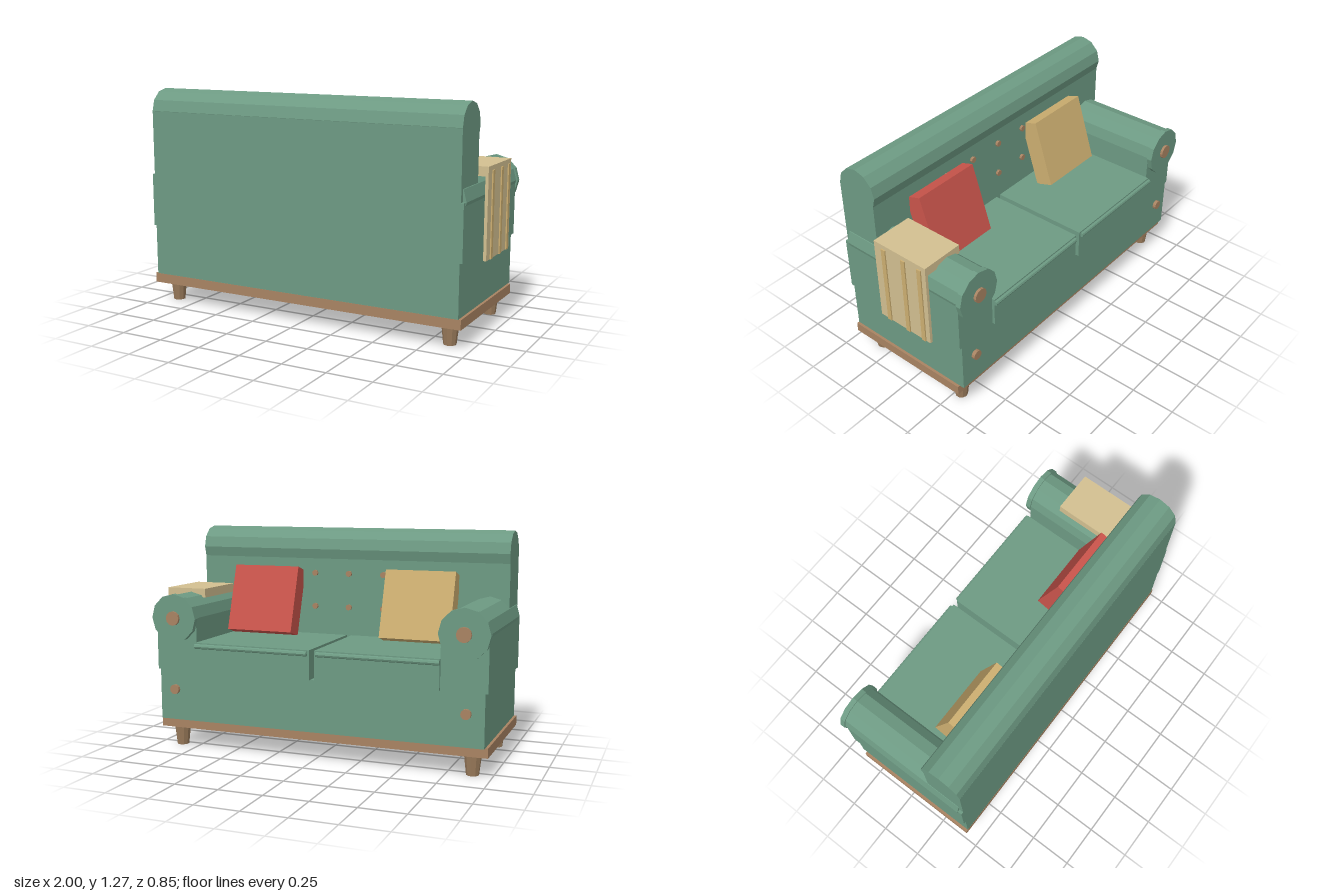
import * as THREE from 'three';

const mat = (name, color) => {
  const m = new THREE.MeshStandardMaterial({ color, flatShading: true });
  m.name = name;
  return m;
};

export function createModel() {
  const green = mat('green fabric', 0x6d9a83);
  const wood = mat('base wood', 0xa88362);
  const legWood = mat('leg wood', 0x9a7b5b);
  const red = mat('red fabric', 0xc9544b);
  const gold = mat('gold fabric', 0xccae70);
  const tan = mat('tan throw', 0xd2bf90);

  const model = new THREE.Group();
  model.name = 'sofa';
  const sofa = new THREE.Group();
  sofa.name = 'sofaBody';
  sofa.position.x = -0.0125;
  model.add(sofa);

  const add = (name, geometry, material) => {
    const mesh = new THREE.Mesh(geometry, material);
    mesh.name = name;
    sofa.add(mesh);
    return mesh;
  };
  // Box given by its extents on each axis
  const box = (name, material, [x0, x1], [y0, y1], [z0, z1]) =>
    add(name, new THREE.BoxGeometry(x1 - x0, y1 - y0, z1 - z0), material)
      .position.set((x0 + x1) / 2, (y0 + y1) / 2, (z0 + z1) / 2);
  // Cylinder lying along z
  const discZ = (name, material, r, x, y, z0, z1, sides = 12) =>
    add(name, new THREE.CylinderGeometry(r, r, z1 - z0, sides).rotateX(Math.PI / 2), material)
      .position.set(x, y, (z0 + z1) / 2);
  // Cylinder lying along x
  const rollX = (name, material, r, x0, x1, y, z, sides) =>
    add(name, new THREE.CylinderGeometry(r, r, x1 - x0, sides).rotateZ(Math.PI / 2), material)
      .position.set((x0 + x1) / 2, y, z);

  // Base, lower body and backrest with rolled top
  box('basePlate', wood, [-0.9725, 0.9725], [0.115, 0.17], [-0.352, 0.426]);
  box('lowerBody', green, [-0.9575, 0.9575], [0.17, 0.465], [-0.38, 0.425]);
  box('backrest', green, [-0.9575, 0.9575], [0.465, 1.14], [0.19, 0.425]);
  rollX('backrestRoll', green, 0.125, -0.9575, 0.9575, 1.142, 0.3, 12);

  for (const s of [-1, 1]) {
    const span = (a, b) => (s > 0 ? [a, b] : [-b, -a]);
    // Arm with roll, front cap and buttons
    box('armPanel', green, span(0.7175, 0.9725), [0.462, 0.77], [-0.38, 0.425]);
    discZ('armRoll', green, 0.13, s * 0.8475, 0.77, -0.38, 0.4);
    discZ('armCap', green, 0.139, s * 0.8475, 0.768, -0.41, -0.38);
    discZ('armButton', wood, 0.041, s * 0.8475, 0.768, -0.425, -0.408);
    discZ('frontButton', wood, 0.028, s * 0.86, 0.35, -0.4, -0.378);

    // Seat cushion with front piping
    box('seatCushion', green, span(0.015, 0.7175), [0.465, 0.632], [-0.396, 0.2]);
    rollX('cushionPiping', green, 0.014, ...span(0.0275, 0.7175), 0.612, -0.4, 8);

    // Tapered legs
    for (const z of [-0.283, 0.327]) {
      add('leg', new THREE.CylinderGeometry(0.048, 0.035, 0.116, 10), legWood)
        .position.set(s * 0.8775, 0.058, z);
    }
  }

  // Backrest tufting buttons
  for (let i = -2; i <= 2; i++) {
    for (const y of [0.8, 1.0]) {
      discZ('backButton', wood, 0.018, i * 0.215, y, 0.175, 0.192, 8);
    }
  }

  // Leaning pillows
  for (const [name, x, material] of [['redPillow', 0.5025, red], ['goldPillow', -0.46, gold]]) {
    const pillow = add(name, new THREE.BoxGeometry(0.414, 0.4, 0.11), material);
    pillow.position.set(x, 0.833, 0.105);
    pillow.rotation.x = 0.314;
  }

  // Throw over the left arm, with raised stripes
  box('throwTop', tan, [0.755, 0.998], [0.868, 0.92], [-0.2, 0.16]);
  box('throwSide', tan, [0.986, 1.003], [0.42, 0.92], [-0.2, 0.16]);
  for (const z of [0.092, -0.046, -0.158]) {
    box('throwStripe', gold, [1.001, 1.01], [0.42, 0.895], [z - 0.0135, z + 0.0135]);
  }
  return model;
}
